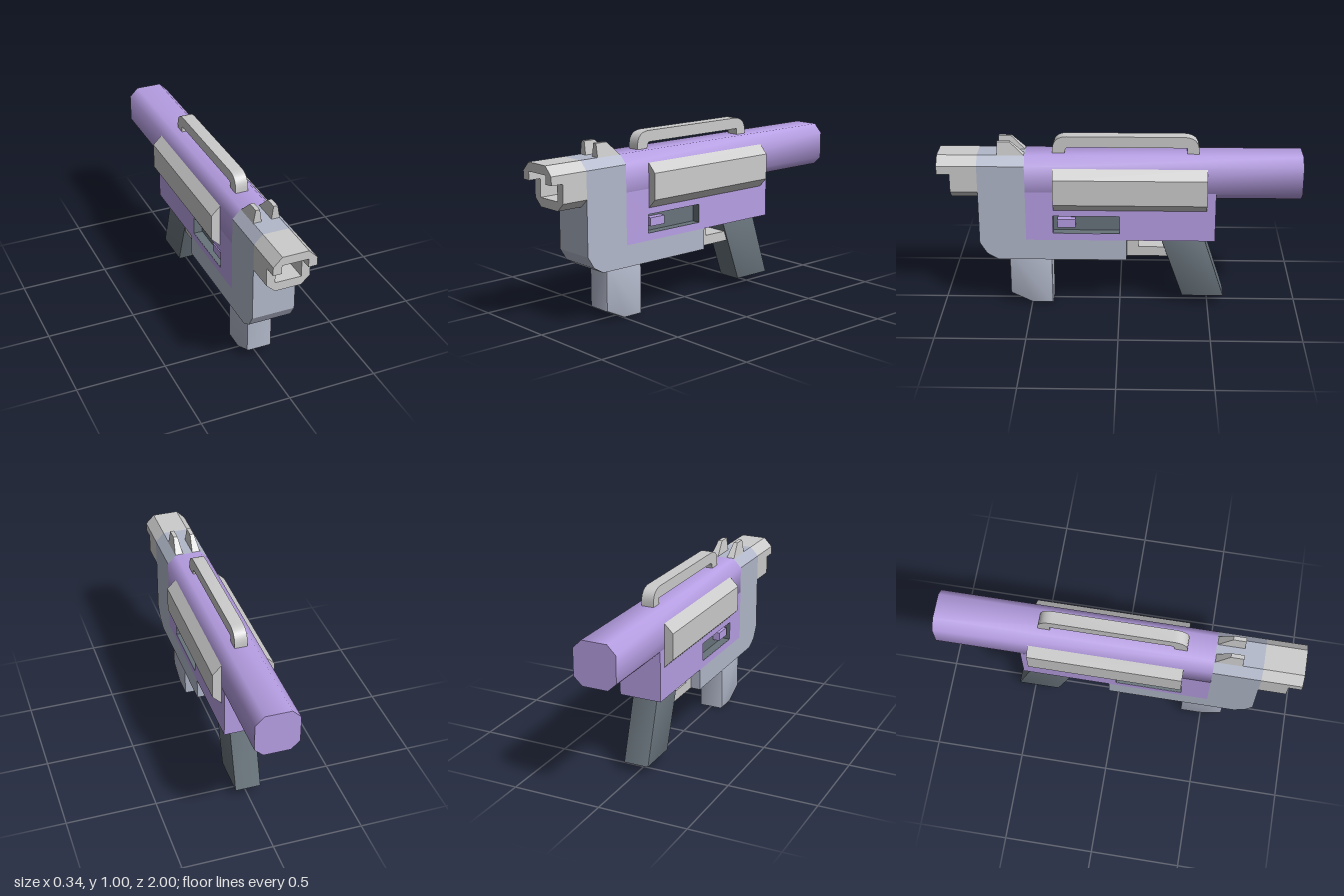
import * as THREE from 'three';
import { toCreasedNormals } from 'three/addons/utils/BufferGeometryUtils.js';
import { ConvexGeometry } from 'three/addons/geometries/ConvexGeometry.js';

const mat = (color) => new THREE.MeshStandardMaterial({ color });
const grey = mat(0xcccccc);
const steel = mat(0xb2b8ca);
const purple = mat(0xb79fe4);
const dark = mat(0x68737b);

const toShape = (pts) => new THREE.Shape(pts.map(([a, b]) => new THREE.Vector2(a, b)));
const rect = (a0, a1, b0, b1) => [[a0, b0], [a1, b0], [a1, b1], [a0, b1]];

// Side profile in (z, y), extruded across x and centred
function sideSlab(shape, width, bevel = 0) {
  const geo = new THREE.ExtrudeGeometry(shape, {
    depth: width - 2 * bevel, bevelEnabled: bevel > 0, bevelSize: bevel,
    bevelThickness: bevel, bevelOffset: -bevel, bevelSegments: 2, curveSegments: 6,
  });
  geo.translate(0, 0, bevel - width / 2).rotateY(-Math.PI / 2);
  return bevel ? toCreasedNormals(geo, 0.6) : geo;
}

// Front section in (x, y), extruded from z0 to z1
function section(shape, z0, z1) {
  const geo = new THREE.ExtrudeGeometry(shape, { depth: z1 - z0, bevelEnabled: false });
  return geo.translate(0, 0, z0);
}

export function createModel() {
  const model = new THREE.Group();
  const add = (name, geo, material) => {
    const mesh = new THREE.Mesh(geo, material);
    mesh.name = name;
    model.add(mesh);
    return mesh;
  };

  // Long chamfered barrel housing, softly shaded
  const octagon = [[-0.072, 0.66], [0.072, 0.66], [0.12, 0.705], [0.12, 0.855],
    [0.072, 0.904], [-0.072, 0.904], [-0.12, 0.855], [-0.12, 0.705]];
  add('barrelHousing', toCreasedNormals(section(toShape(octagon), -1, 0.52), 1), purple);

  // Receiver below it, with a slot cut in each side
  const receiver = toShape(rect(-0.53, 0.52, 0.42, 0.705));
  receiver.holes.push(new THREE.Path(rect(0, 0.37, 0.46, 0.565).map((p) => new THREE.Vector2(...p))));
  add('receiver', sideSlab(receiver, 0.24), purple);
  add('slotFloor', sideSlab(toShape(rect(-0.01, 0.38, 0.45, 0.575)), 0.14), dark);
  const slotWalls = sideSlab((() => {
    const frame = toShape(rect(-0.002, 0.372, 0.458, 0.567));
    frame.holes.push(new THREE.Path(rect(0.001, 0.369, 0.461, 0.564).map((p) => new THREE.Vector2(...p))));
    return frame;
  })(), 0.238);
  add('slotLining', slotWalls, dark);
  add('selector', sideSlab(toShape(rect(0.245, 0.345, 0.493, 0.54)), 0.22), purple);

  // Front block and lower frame
  add('frontBlockTop', section(toShape(octagon), 0.52, 0.78), steel);
  add('lowerFrame', sideSlab(toShape([[0.78, 0.705], [0.52, 0.705], [0.52, 0.42], [-0.04, 0.42],
    [-0.04, 0.3], [0.68, 0.3], [0.74, 0.335], [0.78, 0.4]]), 0.24), steel);

  // Muzzle: the upper hood reaches further forward than the lower jaw
  add('muzzleHood', section(toShape([[0.12, 0.808], [0.12, 0.855], [0.072, 0.904], [-0.072, 0.904],
    [-0.12, 0.855], [-0.12, 0.808], [-0.072, 0.808], [-0.072, 0.855], [0.072, 0.855], [0.072, 0.808]]), 0.78, 1), grey);
  add('muzzleJaw', section(toShape([[0.12, 0.808], [0.072, 0.808], [0.072, 0.71], [-0.072, 0.71],
    [-0.072, 0.808], [-0.12, 0.808], [-0.12, 0.705], [-0.072, 0.66], [0.072, 0.66], [0.12, 0.705]]), 0.78, 0.93), grey);
  add('bore', section(toShape(rect(-0.072, 0.072, 0.71, 0.855)), 0.77, 0.8), dark);

  // Side panels, sight posts
  for (const s of [1, -1]) {
    const panel = toShape([[0.1, 0.6], [0.12, 0.6], [0.17, 0.65], [0.17, 0.795], [0.12, 0.845], [0.1, 0.845]]
      .map(([x, y]) => [s * x, y]));
    add(s > 0 ? 'leftPanel' : 'rightPanel', section(panel, -0.48, 0.365), grey);

    const post = [[0.027, 0.9, 0.52], [0.074, 0.9, 0.52], [0.027, 0.9, 0.67], [0.074, 0.9, 0.67],
      [0.038, 0.977, 0.6], [0.061, 0.977, 0.6], [0.038, 0.977, 0.67], [0.061, 0.977, 0.67]]
      .map(([x, y, z]) => new THREE.Vector3(s * x, y, z));
    add(s > 0 ? 'leftSight' : 'rightSight', new ConvexGeometry(post), grey);
  }

  // Carry handle with rounded ends
  const handle = new THREE.Shape();
  handle.moveTo(0.37, 0.9);
  handle.lineTo(0.37, 0.93);
  handle.quadraticCurveTo(0.365, 1, 0.29, 1);
  handle.lineTo(-0.36, 1);
  handle.quadraticCurveTo(-0.43, 0.995, -0.435, 0.93);
  handle.lineTo(-0.435, 0.9);
  handle.lineTo(-0.37, 0.9);
  handle.lineTo(-0.37, 0.938);
  handle.lineTo(0.285, 0.938);
  handle.quadraticCurveTo(0.3, 0.938, 0.303, 0.9);
  add('carryHandle', toCreasedNormals(sideSlab(handle, 0.07), 0.6), grey);

  // Magazine, rear grip and trigger guard
  add('magazine', sideSlab(toShape([[0.622, 0.32], [0.38, 0.32], [0.38, 0.002], [0.5, 0.002],
    [0.622, 0.062]]), 0.146, 0.012), steel);
  add('rearGrip', sideSlab(toShape([[-0.22, 0.44], [-0.465, 0.44], [-0.59, 0.055], [-0.355, 0.055]]), 0.146, 0.006), dark);
  add('triggerGuard', sideSlab(toShape([[-0.03, 0.425], [-0.03, 0.302], [-0.29, 0.302], [-0.29, 0.358],
    [-0.105, 0.358], [-0.105, 0.425]]), 0.13), grey);

  return model;
}
